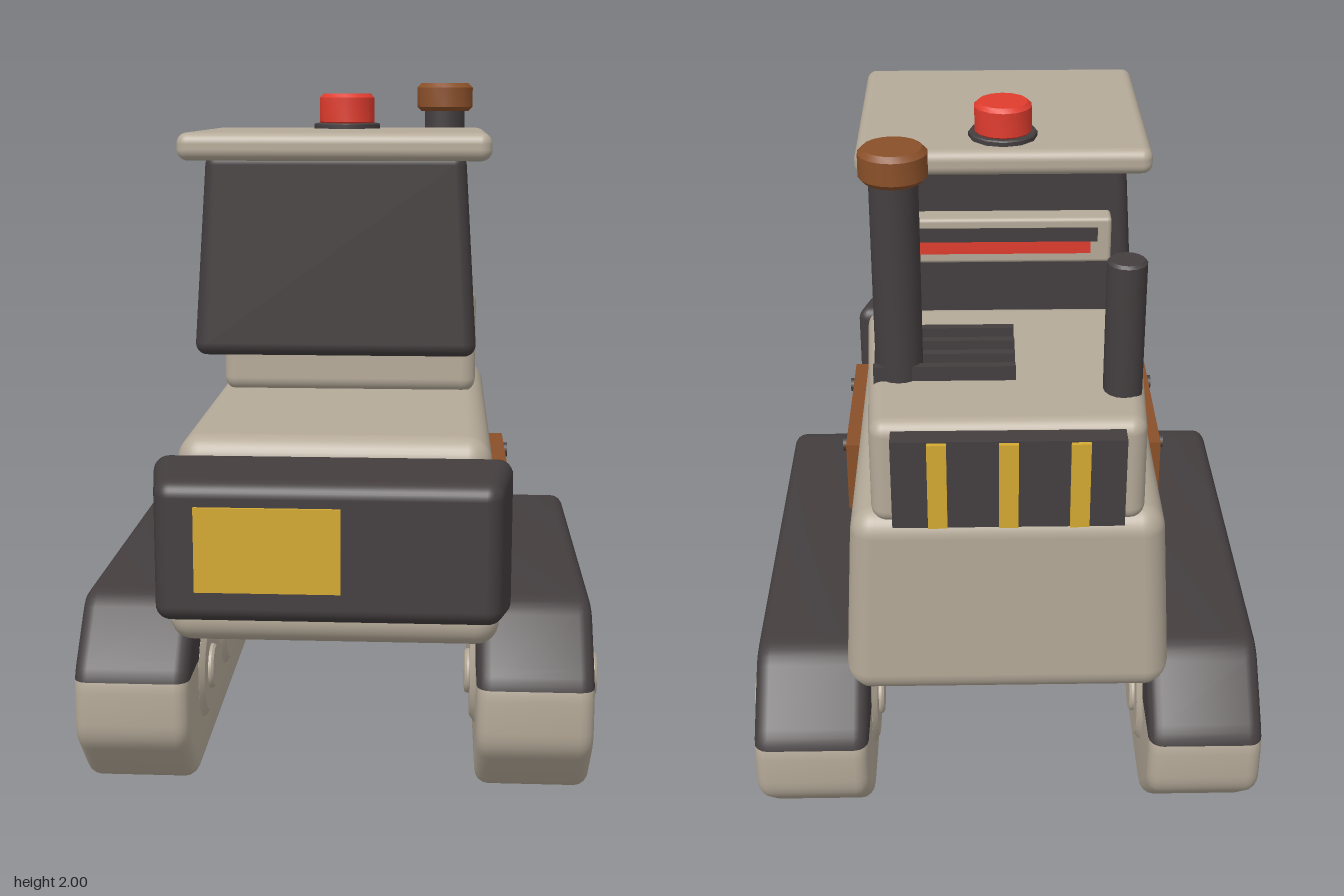
import * as THREE from 'three';
import { toCreasedNormals } from 'three/addons/utils/BufferGeometryUtils.js';
import { RoundedBoxGeometry } from 'three/addons/geometries/RoundedBoxGeometry.js';

const paint = (name, color) => {
  const m = new THREE.MeshStandardMaterial({ color });
  m.name = name;
  return m;
};

// Box from its limits, rounded when r > 0; bend(p, u, v) moves points, u and v being 0..1 along y and z
function slab([x0, x1], [y0, y1], [z0, z1], r = 0, bend = null) {
  const w = x1 - x0, h = y1 - y0, d = z1 - z0;
  const g = r ? new RoundedBoxGeometry(w, h, d, 4, r) : new THREE.BoxGeometry(w, h, d);
  if (bend) {
    const pos = g.attributes.position, p = new THREE.Vector3();
    for (let i = 0; i < pos.count; i++) {
      p.fromBufferAttribute(pos, i);
      bend(p, p.y / h + 0.5, p.z / d + 0.5);
      pos.setXYZ(i, p.x, p.y, p.z);
    }
  }
  return g.translate((x0 + x1) / 2, (y0 + y1) / 2, (z0 + z1) / 2);
}

// Upright drum with bevelled rims
function drum(r, y0, y1, bevel, sides) {
  const pts = [[0, y0], [r - bevel, y0], [r, y0 + bevel], [r, y1 - bevel], [r - bevel, y1], [0, y1]];
  return toCreasedNormals(new THREE.LatheGeometry(pts.map(p => new THREE.Vector2(...p)), sides), 0.6);
}

// Polygon with softened corners
function softShape(points, cut) {
  const s = new THREE.Shape(), v = points.map(p => new THREE.Vector2(...p));
  v.forEach((c, i) => {
    const toward = q => c.clone().add(q.clone().sub(c).setLength(cut));
    const a = toward(v[(i + v.length - 1) % v.length]), b = toward(v[(i + 1) % v.length]);
    i ? s.lineTo(a.x, a.y) : s.moveTo(a.x, a.y);
    s.quadraticCurveTo(c.x, c.y, b.x, b.y);
  });
  s.closePath();
  return s;
}

// Keeps the part of a geometry above (sign 1) or below (sign -1) a level
function clipY(source, level, sign) {
  const g = source.index ? source.toNonIndexed() : source;
  const P = g.attributes.position, N = g.attributes.normal, pos = [], nor = [];
  const dist = c => sign * (c.p.y - level);
  for (let i = 0; i < P.count; i += 3) {
    const tri = [0, 1, 2].map(k => ({
      p: new THREE.Vector3().fromBufferAttribute(P, i + k),
      n: new THREE.Vector3().fromBufferAttribute(N, i + k),
    }));
    const poly = [];
    tri.forEach((a, k) => {
      const b = tri[(k + 1) % 3], da = dist(a), db = dist(b);
      if (da >= 0) poly.push(a);
      if (da * db < 0) {
        const t = da / (da - db);
        poly.push({ p: a.p.clone().lerp(b.p, t), n: a.n.clone().lerp(b.n, t).normalize() });
      }
    });
    for (let k = 1; k + 1 < poly.length; k++)
      for (const c of [poly[0], poly[k], poly[k + 1]]) {
        pos.push(...c.p.toArray());
        nor.push(...c.n.toArray());
      }
  }
  const out = new THREE.BufferGeometry();
  out.setAttribute('position', new THREE.Float32BufferAttribute(pos, 3));
  out.setAttribute('normal', new THREE.Float32BufferAttribute(nor, 3));
  return out;
}

export function createModel() {
  const model = new THREE.Group();
  model.name = 'trackedTractor';
  const light = paint('warmGrey', 0xb5aa99);
  const dark = paint('charcoal', 0x443e3f);
  const yellow = paint('yellow', 0xd5aa32);
  const rust = paint('rustBrown', 0x8a5029);
  const red = paint('beaconRed', 0xe03c2e);
  const add = (name, geo, mat, parent = model) => {
    const m = new THREE.Mesh(geo, mat);
    m.name = name;
    parent.add(m);
    return m;
  };

  // Tracks: bevelled octagonal block, dark upper and pale lower half
  const outline = [[-0.70, 0], [0.57, 0], [0.74, 0.18], [0.74, 0.37],
    [0.56, 0.565], [-0.69, 0.565], [-0.895, 0.37], [-0.895, 0.19]];
  const bevel = 0.04, width = 0.325;
  let block = new THREE.ExtrudeGeometry(softShape(outline, 0.05), {
    depth: width - 2 * bevel, bevelSize: bevel, bevelThickness: bevel,
    bevelOffset: -bevel, bevelSegments: 4, curveSegments: 4,
  });
  block.translate(0, 0, bevel - width / 2).rotateY(-Math.PI / 2);
  block = toCreasedNormals(block, 0.5);
  const upper = clipY(block, 0.352, 1), lower = clipY(block, 0.352, -1);

  // Road wheel with a hub, showing on both faces of the track
  const half = [[0.06, 0.193], [0.066, 0.186], [0.066, 0.178], [0.13, 0.178], [0.152, 0.163]];
  const wheelPts = [[0, -0.193], ...half.map(([r, y]) => [r, -y]), ...half.reverse(), [0, 0.193]];
  const wheelGeo = toCreasedNormals(
    new THREE.LatheGeometry(wheelPts.map(p => new THREE.Vector2(...p)), 18), 0.5).rotateZ(Math.PI / 2);

  for (const [side, s] of [['left', 1], ['right', -1]]) {
    const track = new THREE.Group();
    track.name = side + 'Track';
    track.position.x = s * 0.563;
    model.add(track);
    add('trackUpper', upper, dark, track);
    add('trackLower', lower, light, track);
    for (const z of [0.39, -0.075, -0.545]) add('roadWheel', wheelGeo, light, track).position.set(0, 0.285, z);

    // Rusty side plate with two bolts
    add(side + 'SidePlate', slab(s > 0 ? [0.43, 0.488] : [-0.488, -0.43], [0.67, 0.9], [-0.113, 0.43]), rust);
    for (const z of [0.355, -0.038]) {
      const bolt = add('plateBolt', new THREE.CylinderGeometry(0.022, 0.022, 0.04, 10), dark);
      bolt.rotation.z = Math.PI / 2;
      bolt.position.set(s * 0.482, 0.863, z);
    }
  }

  // Hull, narrowing slightly toward the top
  add('hull', slab([-0.465, 0.465], [0.455, 1.04], [-0.778, 0.70], 0.07, (p, u) => {
    p.x *= 1 - 0.07 * u;
    p.z *= 1 - 0.045 * u;
  }), light);

  // Front bumper, tapering forward, with its yellow plate
  add('bumper', slab([-0.497, 0.497], [0.545, 1.0], [0.65, 0.887], 0.045, (p, u, v) => {
    p.x *= 1 - 0.08 * v;
    p.y *= 1 - 0.18 * v;
  }), dark);
  add('bumperPlate', slab([-0.353, 0.035], [0.67, 0.9], [0.88, 0.897]), yellow);

  // Engine hood, falling and narrowing toward the rear
  add('hood', slab([-0.402, 0.402], [1.03, 1.37], [-0.765, -0.095], 0.045, (p, u, v) => {
    p.x *= 1 - 0.08 * (1 - v);
    p.y -= 0.04 * (1 - v) * u;
    p.z += 0.02 * u * (1 - v);
  }), light);
  for (const z of [-0.275, -0.355, -0.435, -0.512])
    add('hoodSlat', slab([-0.025, 0.365], [1.32, 1.387], [z - 0.012, z + 0.012]), dark);

  // Rear grille with yellow bars
  add('grille', slab([-0.312, 0.312], [1.045, 1.31], [-0.8, -0.73]), dark);
  for (const x of [-0.19, 0, 0.19])
    add('grilleBar', slab([x - 0.026, x + 0.026], [1.05, 1.306], [-0.813, -0.79]), yellow);

  // Cab and roof
  add('cab', slab([-0.388, 0.388], [1.255, 1.81], [-0.097, 0.602], 0.035, (p, u) => {
    p.x *= 1 - 0.09 * u;
    p.z *= 1 - 0.085 * u;
  }), dark);
  add('roof', slab([-0.422, 0.422], [1.787, 1.862], [-0.14, 0.642], 0.03), light);

  // Panel on the back of the cab
  add('rearPanel', slab([-0.31, 0.31], [1.522, 1.66], [-0.138, -0.06], 0.012), light);
  add('rearPanelDarkStrip', slab([-0.27, 0.27], [1.59, 1.632], [-0.141, -0.135]), dark);
  add('rearPanelRedStrip', slab([-0.25, 0.25], [1.553, 1.59], [-0.141, -0.135]), red);

  // Beacon
  add('beaconBase', drum(0.1, 1.85, 1.878, 0.004, 12), dark);
  add('beaconLamp', drum(0.084, 1.87, 1.965, 0.012, 14), red);

  // Exhaust stack with cap, and the shorter intake pipe
  add('exhaustStack', drum(0.066, 1.3, 1.93, 0.004, 18), dark).position.set(0.295, 0, -0.47);
  add('exhaustCap', drum(0.092, 1.91, 2.0, 0.014, 18), rust).position.set(0.295, 0, -0.47);
  add('intakePipe', drum(0.054, 1.3, 1.722, 0.008, 16), dark).position.set(-0.315, 0, -0.567);

  return model;
}
